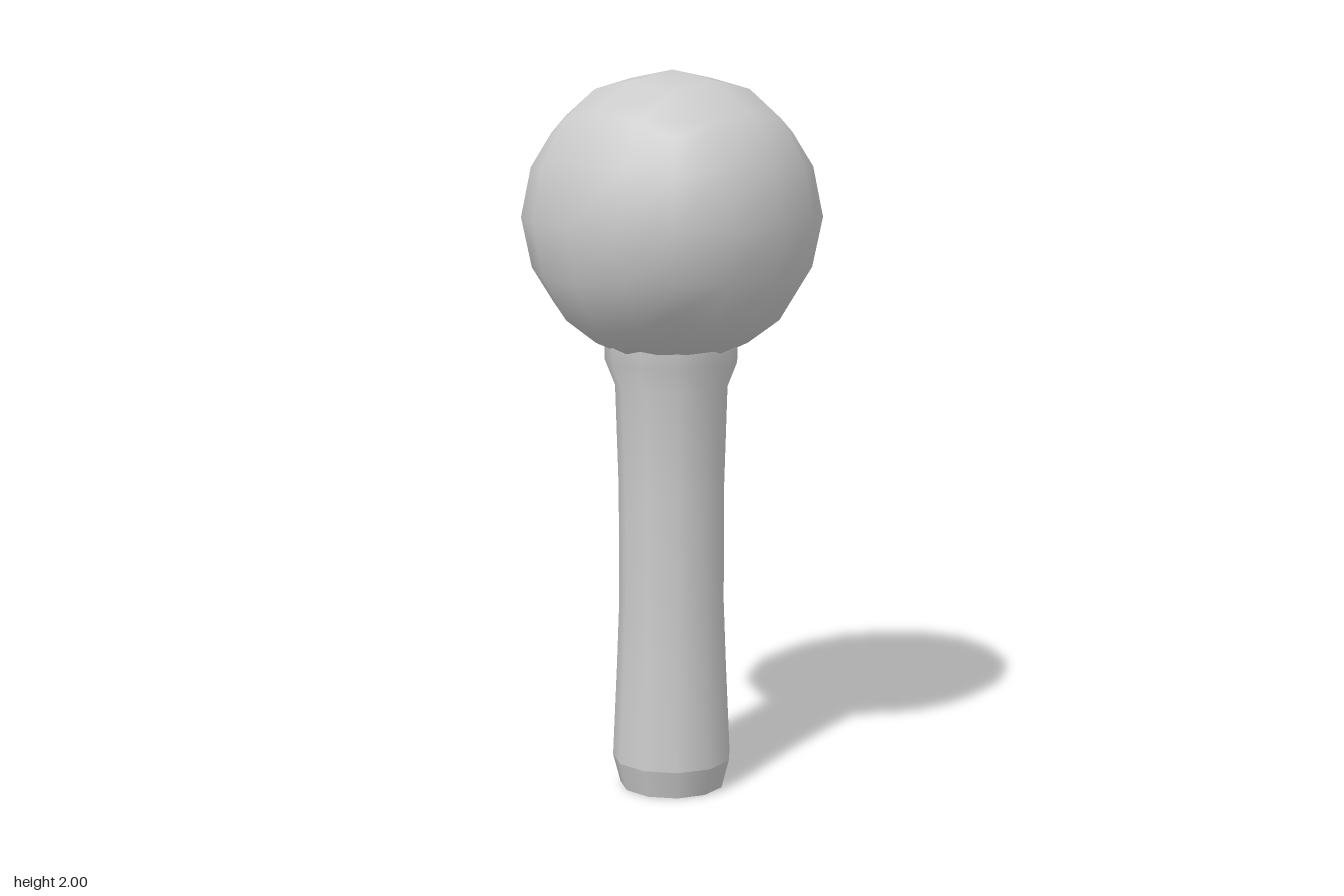
import * as THREE from 'three';
import { mergeVertices } from 'three/addons/utils/BufferGeometryUtils.js';

const material = new THREE.MeshStandardMaterial({ color: 0xcccccc });
const SIDES = 11;

// Rounded cube grid: each kind of grid point (largest, middle, smallest coordinate) has a target
const TARGETS = {
  '2,0,0': [0.8785, 0, 0],
  '2,1,0': [0.8195, 0.351, 0],
  '2,2,0': [0.643, 0.643, 0],
  '2,1,1': [0.764, 0.3264, 0.3264],
  '2,2,1': [0.599, 0.599, 0.302],
  '2,2,2': [0.509, 0.509, 0.509],
};

function roundedCubeBall(scale) {
  let geo = new THREE.BoxGeometry(4, 4, 4, 4, 4, 4);
  geo.deleteAttribute('uv');
  geo.deleteAttribute('normal');
  geo = mergeVertices(geo);
  const pos = geo.attributes.position;
  for (let i = 0; i < pos.count; i++) {
    const p = [pos.getX(i), pos.getY(i), pos.getZ(i)].map(Math.round);
    const order = [0, 1, 2].sort((a, b) => Math.abs(p[b]) - Math.abs(p[a]));
    const target = TARGETS[order.map((k) => Math.abs(p[k])).join(',')];
    const q = [0, 0, 0];
    order.forEach((k, rank) => { q[k] = Math.sign(p[k]) * target[rank] * scale; });
    pos.setXYZ(i, ...q);
  }
  geo.computeVertexNormals();
  return geo;
}

// Turned section from [radius, height] pairs, bottom to top
function turned(name, profile) {
  const points = profile.map(([r, y]) => new THREE.Vector2(r, y));
  const mesh = new THREE.Mesh(new THREE.LatheGeometry(points, SIDES, Math.PI), material);
  mesh.name = name;
  return mesh;
}

export function createModel() {
  const model = new THREE.Group();
  model.name = 'ballHeadedClub';

  // Ball head
  const head = new THREE.Mesh(roundedCubeBall(0.452), material);
  head.name = 'ballHead';
  head.position.y = 1.603;
  model.add(head);

  // Handle: flat end, bevelled foot and flared shaft running into the head
  const handle = new THREE.Group();
  handle.name = 'handle';
  handle.add(
    turned('handleEnd', [[0, 0], [0.147, 0]]),
    turned('handleBevel', [[0.147, 0], [0.168, 0.08]]),
    turned('handleShaft', [
      [0.168, 0.08], [0.156, 0.34], [0.149, 0.52], [0.149, 0.85],
      [0.158, 1.14], [0.186, 1.21], [0.186, 1.3],
    ]),
    turned('handleTop', [[0.186, 1.3], [0, 1.3]]),
  );
  model.add(handle);
  return model;
}
